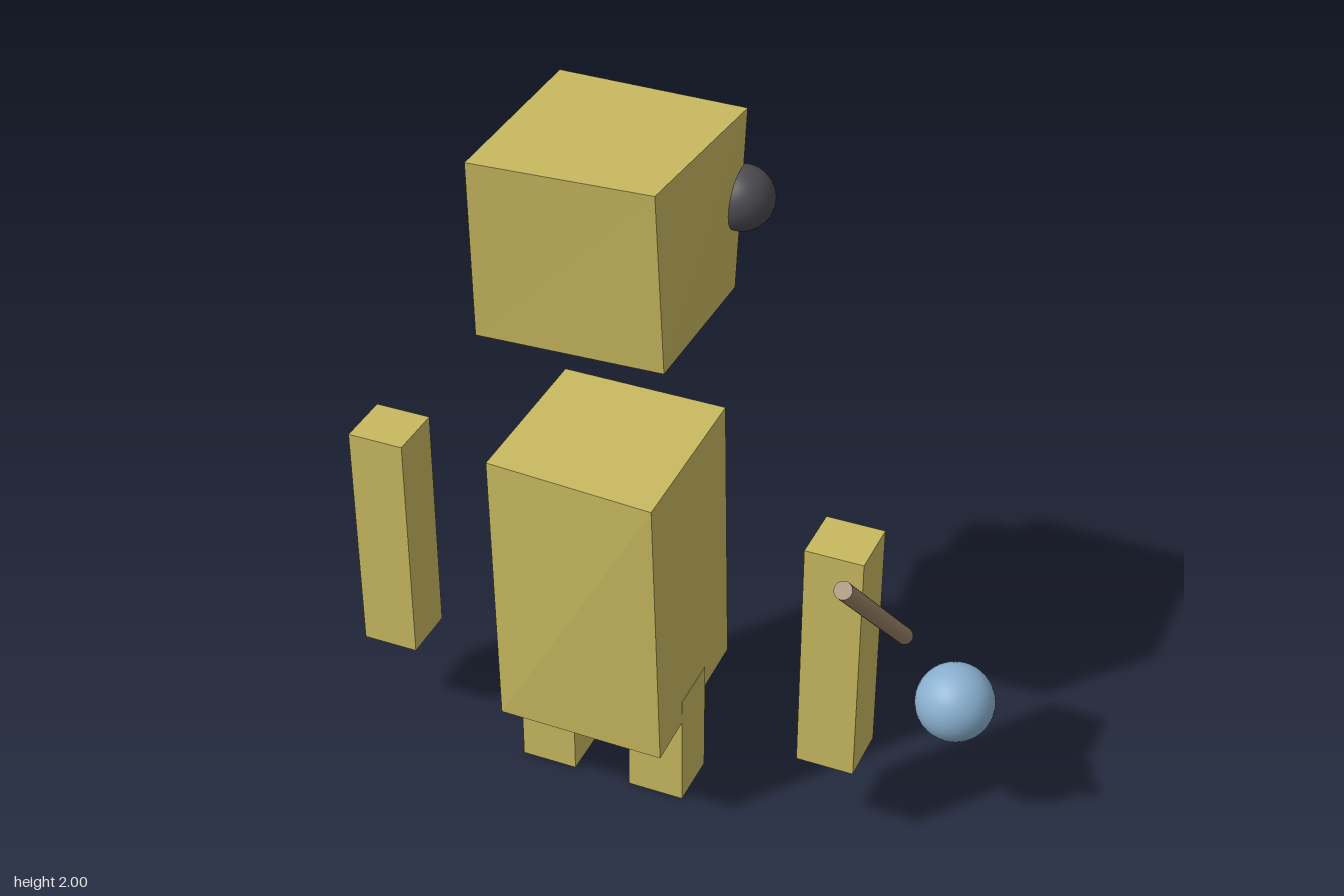
import * as THREE from 'three';

const mat = (name, color) => new THREE.MeshStandardMaterial({ name, color });

// Box whose eight corners are moved to given points.
// Order: front then back; within each: top left, top right, bottom right, bottom left (-x to +x).
function skewedBox(front, back) {
  const geo = new THREE.BoxGeometry(2, 2, 2).toNonIndexed();
  const p = geo.attributes.position;
  for (let i = 0; i < p.count; i++) {
    const right = p.getX(i) > 0, top = p.getY(i) > 0;
    const corner = top ? (right ? 1 : 0) : (right ? 2 : 3);
    p.setXYZ(i, ...(p.getZ(i) > 0 ? front : back)[corner]);
  }
  geo.computeVertexNormals();
  return geo;
}

export function createModel() {
  const model = new THREE.Group();
  model.name = 'figure';
  const khaki = mat('khaki', 0xc9b960);
  const charcoal = mat('charcoal', 0x4c4b50);
  const blue = mat('paleBlue', 0x8ab0cf);
  const wood = mat('wood', 0x9e8468);

  const add = (name, geo, material, x = 0, y = 0, z = 0) => {
    const mesh = new THREE.Mesh(geo, material);
    mesh.name = name;
    mesh.position.set(x, y, z);
    model.add(mesh);
    return mesh;
  };

  // Slightly irregular head and torso blocks
  add('head', skewedBox(
    [[-0.388, 1.99, 0.302], [0.092, 2.0, 0.29], [0.1, 1.5, 0.257], [-0.4, 1.492, 0.267]],
    [[-0.403, 1.975, -0.25], [0.107, 1.977, -0.24], [0.08, 1.46, -0.245], [-0.428, 1.457, -0.24]]
  ), khaki);
  add('torso', skewedBox(
    [[-0.397, 1.1, 0.253], [0.065, 1.08, 0.258], [0.088, 0.275, 0.258], [-0.373, 0.297, 0.276]],
    [[-0.395, 1.105, -0.22], [0.07, 1.105, -0.217], [0.083, 0.285, -0.228], [-0.385, 0.255, -0.202]]
  ), khaki);

  // Detached arms and short legs
  const limbs = [
    ['rightArm', -0.81, 0.265, 0.96], ['leftArm', 0.498, 0.265, 0.96],
    ['rightLeg', -0.32, 0, 0.35], ['leftLeg', 0.006, 0, 0.35],
  ];
  for (const [name, x, low, high] of limbs) {
    add(name, new THREE.BoxGeometry(0.16, high - low, 0.16), khaki, x, (low + high) / 2, 0.023);
  }

  // Round ears on the rear corners of the head
  const ear = new THREE.SphereGeometry(0.085, 32, 20);
  add('rightEar', ear, charcoal, -0.41, 1.732, -0.232);
  add('leftEar', ear, charcoal, 0.1, 1.732, -0.232);

  // Sloping stick with a ball beside it
  const stick = add('stick', new THREE.CylinderGeometry(0.024, 0.024, 0.765, 20), wood, 0.59, 0.752, 0.024);
  stick.rotation.x = Math.PI / 4;
  add('ball', new THREE.SphereGeometry(0.108, 32, 20), blue, 0.777, 0.402, -0.13);

  return model;
}
